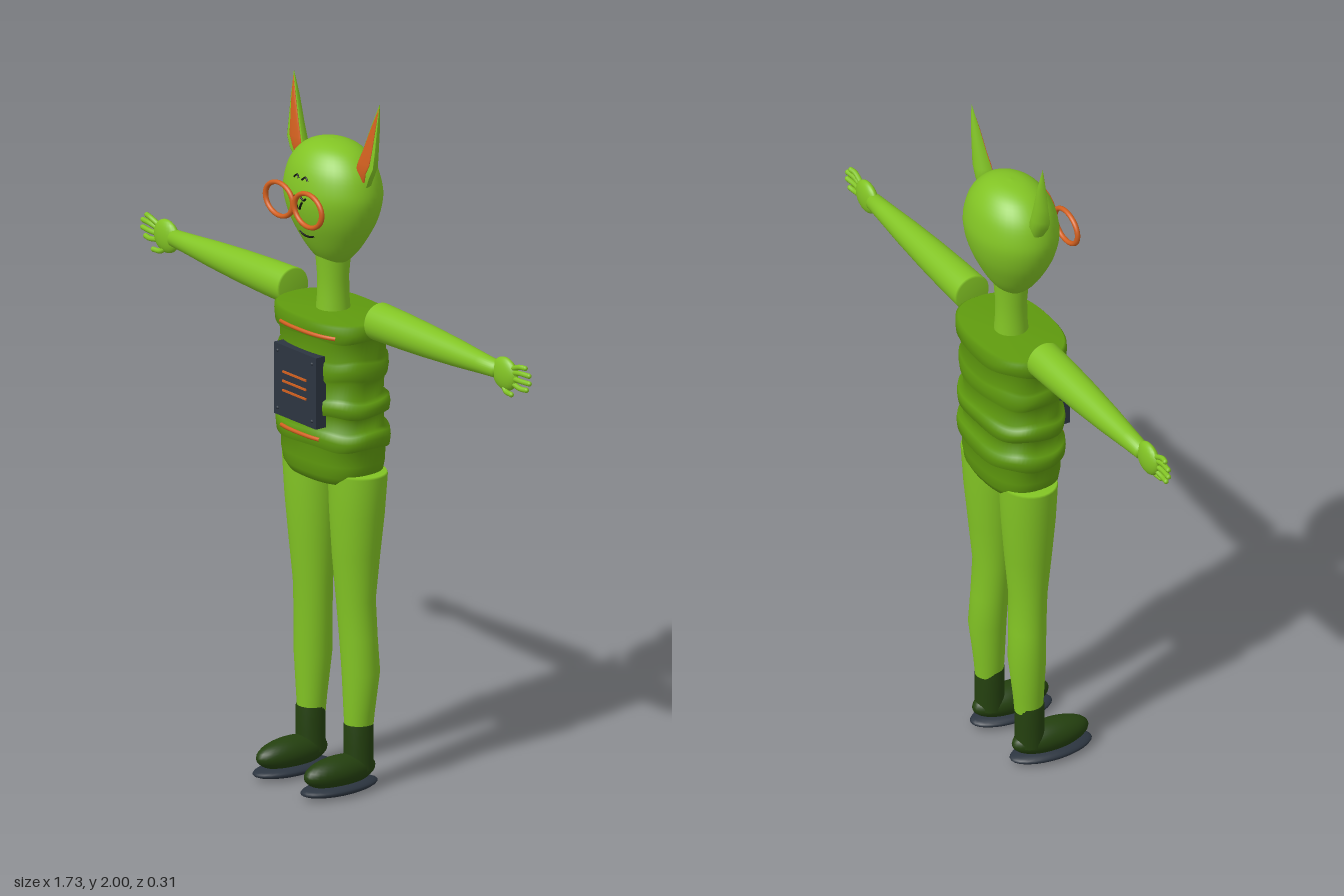
import * as THREE from 'three';

const mat = (name, color, side = THREE.FrontSide) => {
  const m = new THREE.MeshStandardMaterial({ color, side });
  m.name = name;
  return m;
};
const V = (x, y, z) => new THREE.Vector3(x, y, z);

// Skin through rings of points, rows running upward; point(row, angle) gives each corner
function loft(rows, point, seg = 32) {
  const pos = [], index = [];
  rows.forEach((row, i) => {
    for (let j = 0; j < seg; j++) {
      pos.push(...point(row, (j / seg) * Math.PI * 2));
      if (i === rows.length - 1) continue;
      const a = i * seg + j, b = i * seg + ((j + 1) % seg), c = a + seg, d = b + seg;
      index.push(a, c, b, b, c, d);
    }
  });
  const g = new THREE.BufferGeometry();
  g.setAttribute('position', new THREE.Float32BufferAttribute(pos, 3));
  g.setIndex(index);
  g.computeVertexNormals();
  return g;
}

const lathe = (pts, seg = 32) => new THREE.LatheGeometry(pts.map(p => new THREE.Vector2(...p)), seg);
const tube = (pts, r, seg = 12) => new THREE.TubeGeometry(new THREE.CatmullRomCurve3(pts), seg, r, 8);

const ZC = -0.033; // depth of the body's centre line

// Rounded-box outline of the torso
function torsoPoint(rx, y, t) {
  const round = v => Math.sign(v) * Math.pow(Math.abs(v), 0.8);
  return [rx * round(Math.cos(t)), y, ZC + rx * 0.66 * round(Math.sin(t))];
}

export function createModel() {
  const model = new THREE.Group();
  const skin = mat('skin green', 0x82c424);
  const shirt = mat('shirt green', 0x5f9a0e);
  const boot = mat('boot green', 0x24400f);
  const slate = mat('slate', 0x2c3540);
  const orange = mat('orange', 0xd2601f);
  const black = mat('black', 0x10140c);

  const add = (parent, name, geo, material, x = 0, y = 0, z = 0) => {
    const m = new THREE.Mesh(geo, material);
    m.name = name;
    m.position.set(x, y, z);
    parent.add(m);
    return m;
  };

  // Egg-shaped head and neck
  const headCurve = new THREE.SplineCurve([[0, 1.495], [0.04, 1.503], [0.078, 1.535], [0.112, 1.58],
    [0.143, 1.635], [0.159, 1.69], [0.157, 1.735], [0.138, 1.787], [0.1, 1.828], [0.052, 1.849], [0, 1.855]]
    .map(p => new THREE.Vector2(...p)));
  const headPts = headCurve.getPoints(40).map(p => [Math.max(0, p.x), p.y]);
  const head = add(model, 'head', lathe(headPts, 40), skin, 0, 0, ZC);
  head.scale.z = 0.76;
  add(model, 'neck', lathe([[0.05, 1.34], [0.045, 1.4], [0.044, 1.46], [0.05, 1.53]]), skin, 0, 0, ZC);

  // Face lines laid on the head surface
  const onFace = (x, y) => {
    const p = headPts.reduce((a, b) => (Math.abs(b[1] - y) < Math.abs(a[1] - y) ? b : a));
    return V(x, y, ZC + 0.76 * Math.sqrt(Math.max(0, p[0] ** 2 - x * x)) + 0.001);
  };
  const faceLine = (name, pts, r = 0.003) => add(model, name, tube(pts.map(p => onFace(...p)), r), black);
  for (const s of [-1, 1]) {
    faceLine('eyebrow', [[s * 0.007, 1.76], [s * 0.018, 1.768], [s * 0.03, 1.759]]);
    faceLine('eye', [[s * 0.012, 1.712], [s * 0.022, 1.705], [s * 0.034, 1.714]]);
    faceLine('noseLine', [[s * 0.018, 1.7], [s * 0.009, 1.685], [s * 0.004, 1.675]]);
  }
  faceLine('mouth', [[-0.032, 1.597], [-0.012, 1.591], [0.012, 1.591], [0.032, 1.597]]);

  // Round glasses
  for (const s of [-1, 1]) {
    const rim = add(model, 'glassesRim', new THREE.TorusGeometry(0.054, 0.0075, 10, 40), orange, s * 0.064, 1.69, 0.105);
    rim.scale.set(1.12, 0.88, 1);
  }

  // Banded torso with slightly wavy band edges: [y, half width]
  const torsoRows = [[0.89, 0], [0.885, 0.1], [0.893, 0.14], [0.915, 0.158], [0.95, 0.165], [0.995, 0.166],
    [1.0, 0.18], [1.025, 0.183], [1.046, 0.18], [1.05, 0.162], [1.09, 0.162], [1.095, 0.178], [1.118, 0.182],
    [1.138, 0.178], [1.143, 0.16], [1.19, 0.163], [1.2, 0.173], [1.225, 0.177], [1.25, 0.175], [1.256, 0.167],
    [1.31, 0.171], [1.315, 0.184], [1.34, 0.187], [1.36, 0.186], [1.366, 0.178], [1.37, 0]];
  add(model, 'torso', loft(torsoRows, ([y, r], t) => {
    const wave = y > 0.96 && y < 1.35 ? 0.004 * Math.sin(5 * t + y * 20) : 0;
    return torsoPoint(r, y + wave, t);
  }, 64), shirt);

  // Orange trim on the front of two bands
  const trim = (y, r, x0, x1) => {
    const pts = [];
    for (let i = 0; i <= 10; i++) {
      const x = x0 + (x1 - x0) * i / 10;
      const c = Math.sign(x) * Math.pow(Math.abs(x) / r, 1.25);
      const p = torsoPoint(r, y, Math.acos(c));
      pts.push(V(x, y, p[2]));
    }
    add(model, 'trim', tube(pts, 0.006, 20), orange);
  };
  trim(1.328, 0.186, -0.085, 0.135);
  trim(1.027, 0.183, -0.085, 0.085);

  // Chest panel with glowing lines and corner studs
  add(model, 'chestPanel', new THREE.BoxGeometry(0.186, 0.206, 0.035), slate, -0.002, 1.165, 0.0815);
  for (const y of [1.193, 1.166, 1.139])
    add(model, 'panelLine', new THREE.BoxGeometry(0.104, 0.006, 0.005), orange, -0.002, y, 0.1);
  for (const x of [-0.078, 0.074]) for (const y of [1.082, 1.248])
    add(model, 'panelStud', new THREE.SphereGeometry(0.005, 8, 6), slate, x, y, 0.099);

  // Limbs and ears, made for the left and mirrored
  for (const s of [1, -1]) {
    const half = new THREE.Group();
    half.name = s > 0 ? 'leftSide' : 'rightSide';
    half.scale.x = s;
    model.add(half);

    // Pointed ear: [y, inner x, outer x, front z, depth]
    const earRows = [[1.745, 0.146, 0.146, -0.03, 0], [1.755, 0.135, 0.157, -0.025, 0.025],
      [1.785, 0.113, 0.175, -0.02, 0.038], [1.815, 0.121, 0.19, -0.022, 0.036], [1.86, 0.139, 0.191, -0.028, 0.028],
      [1.93, 0.164, 0.191, -0.036, 0.018], [2, 0.19, 0.19, -0.046, 0]];
    add(half, 'ear', loft(earRows, ([y, a, b, z, d], t) =>
      [(a + b) / 2 + (b - a) / 2 * Math.cos(t), y, z + Math.min(0, Math.sin(t)) * d], 24), skin);
    add(half, 'innerEar', loft(earRows.map(r => [1.76 + (r[0] - 1.745) * 0.9, ...r.slice(1)]), ([y, a, b, z, d], t) =>
      [a + (b - a) * (0.45 + 0.36 * Math.cos(t)), y, z + 0.002 + (d > 0 ? 0.003 * Math.sin(t) : 0)], 16), orange);

    // Tapered arm pointing sideways
    const arm = add(half, 'arm', lathe([[0, 0], [0.05, 0], [0.0535, 0.006], [0.051, 0.1], [0.046, 0.22], [0.038, 0.35],
      [0.029, 0.46], [0.024, 0.53], [0, 0.54]]), skin, 0.187, 1.373, -0.043);
    arm.rotation.z = -Math.PI / 2;

    // Hand
    const palm = add(half, 'palm', new THREE.SphereGeometry(1, 20, 14), skin, 0.75, 1.37, -0.043);
    palm.scale.set(0.052, 0.048, 0.02);
    const fingers = [[1.388, 0.845, 1.408], [1.378, 0.862, 1.39], [1.366, 0.863, 1.368], [1.354, 0.85, 1.346]];
    const digit = (name, a, mid, b) => {
      add(half, name, tube([a, mid, b], 0.0075), skin);
      add(half, name + 'Tip', new THREE.SphereGeometry(0.0075, 8, 6), skin, b.x, b.y, b.z);
    };
    for (const [y0, x1, y1] of fingers)
      digit('finger', V(0.77, y0, -0.043), V(0.82, y1 - 0.001, -0.04), V(x1 - 0.007, y1, -0.043));
    digit('thumb', V(0.745, 1.34, -0.04), V(0.765, 1.325, -0.033), V(0.793, 1.323, -0.03));

    // Leg: [y, centre x, half width, centre z, half depth]
    const legRows = [[0.17, 0.105, 0.038, -0.04, 0.04], [0.22, 0.105, 0.043, -0.041, 0.043],
      [0.34, 0.106, 0.055, -0.046, 0.052], [0.44, 0.1, 0.057, -0.042, 0.051], [0.55, 0.095, 0.06, -0.037, 0.052],
      [0.68, 0.096, 0.07, -0.037, 0.065], [0.8, 0.099, 0.081, -0.038, 0.074], [0.916, 0.101, 0.089, -0.039, 0.079],
      [0.922, 0.101, 0.086, -0.039, 0.076], [0.922, 0.101, 0, -0.039, 0]];
    add(half, 'leg', loft(legRows, ([y, x, rx, z, rz], t) => [x + rx * Math.cos(t), y, z + rz * Math.sin(t)]), skin);

    // Boot with shaft, rounded foot and sole
    add(half, 'bootShaft', lathe([[0.042, 0.06], [0.041, 0.12], [0.041, 0.188], [0.037, 0.191], [0, 0.191]]), boot, 0.106, 0, -0.038);
    const foot = add(half, 'bootFoot', new THREE.SphereGeometry(1, 28, 18), boot, 0.106, 0.064, 0.028);
    foot.scale.set(0.05, 0.045, 0.119);
    const sole = add(half, 'sole', new THREE.SphereGeometry(1, 28, 14), slate, 0.106, 0.02, 0.03);
    sole.scale.set(0.059, 0.019, 0.127);
  }
  return model;
}
